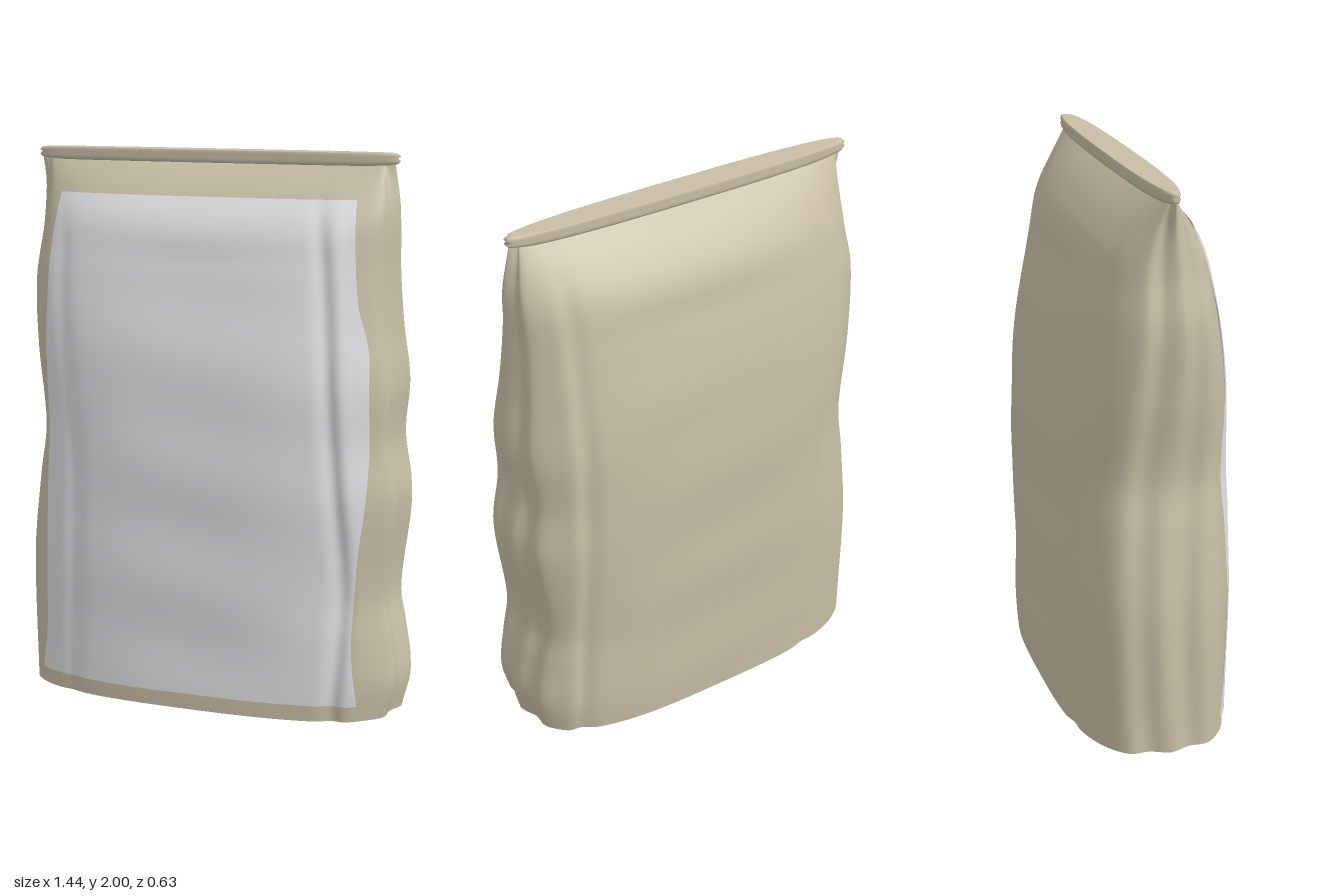
import * as THREE from 'three';
import { mergeVertices } from 'three/addons/utils/BufferGeometryUtils.js';
import { ParametricGeometry } from 'three/addons/geometries/ParametricGeometry.js';

// Smooth cubic through [y, value] pairs
function profile(pts) {
  const slope = (i) => {
    const a = pts[Math.max(i - 1, 0)], b = pts[Math.min(i + 1, pts.length - 1)];
    return (b[1] - a[1]) / (b[0] - a[0]);
  };
  return (y) => {
    let i = 0;
    while (i < pts.length - 2 && y > pts[i + 1][0]) i++;
    const [y0, v0] = pts[i], [y1, v1] = pts[i + 1], h = y1 - y0;
    const t = THREE.MathUtils.clamp((y - y0) / h, 0, 1), s = 1 - t;
    return v0 * (1 + 2 * t) * s * s + slope(i) * h * t * s * s
      + v1 * t * t * (3 - 2 * t) - slope(i + 1) * h * t * t * s;
  };
}

// Outline of the filled bag: left and right edges, depth, squareness
const xMin = profile([[0, -0.72], [0.5, -0.72], [0.8, -0.69], [1, -0.665], [1.3, -0.7], [1.55, -0.715],
  [1.72, -0.69], [1.87, -0.685], [1.97, -0.70]]);
const xMax = profile([[0, 0.69], [0.14, 0.72], [0.3, 0.7], [0.45, 0.675], [0.8, 0.71], [1, 0.68],
  [1.2, 0.69], [1.4, 0.665], [1.6, 0.655], [1.8, 0.66], [1.97, 0.635]]);
const depth = profile([[0, 0.3], [0.3, 0.305], [0.65, 0.31], [1.1, 0.305], [1.3, 0.288], [1.5, 0.255],
  [1.7, 0.215], [1.78, 0.185], [1.87, 0.125], [1.93, 0.07], [1.97, 0.025]]);
const squareness = profile([[0, 2.9], [1.4, 2.9], [1.8, 2.6], [1.97, 2.4]]);

// Edges of the front label and the paths of the creases
const labelMin = profile([[0.07, -0.64], [0.25, -0.61], [0.9, -0.6], [1.6, -0.6], [1.85, -0.58]]);
const labelMax = profile([[0.07, 0.59], [0.3, 0.57], [0.6, 0.585], [0.85, 0.612], [1.2, 0.61],
  [1.35, 0.6], [1.5, 0.56], [1.85, 0.53]]);
const creaseFrontL = profile([[0, 0.5], [0.5, 0.53], [1, 0.49], [1.4, 0.46], [1.85, 0.41]]);
const creaseFrontR = profile([[0, -0.5], [0.8, -0.47], [1.2, -0.51], [1.85, -0.56]]);
const creaseBackL = profile([[0, 0.56], [0.8, 0.52], [1.85, 0.5]]);
const creaseBackR = profile([[0, -0.42], [0.6, -0.45], [1.2, -0.52], [1.85, -0.5]]);

const dent = (d, w) => Math.exp(-((d / w) ** 2));

// Wrinkle factor on the depth of the front (side 1) or back (side -1)
function wrinkle(x, y, side) {
  const fade = THREE.MathUtils.smoothstep(1.95 - y, 0, 0.3);
  const [l, r] = side > 0 ? [creaseFrontL, creaseFrontR] : [creaseBackL, creaseBackR];
  const middle = dent(x, 0.4);
  return 1 + fade * (0.035 * dent(x - l(y) - 0.05, 0.035) - 0.055 * dent(x - l(y), 0.03)
    - 0.03 * dent(x - r(y), 0.035)
    + middle * (0.012 * Math.sin(y * 15 + x * 2 + side) - 0.018 * dent(y - 1.64, 0.05)));
}

// Point on the bag at angle a (0 is the front middle) and height y
function bagPoint(a, y, target) {
  const c = Math.sin(a), s = Math.cos(a), n = squareness(y);
  const lo = xMin(y), hi = xMax(y);
  const x = (lo + hi) / 2 + (hi - lo) / 2 * Math.sign(c) * Math.abs(c) ** (2 / n);
  const side = Math.sign(s) || 1;
  const z = side * depth(y) * Math.abs(s) ** (2 / n) * wrinkle(x, y, side);
  // Pleats in the gussets
  const pleat = Math.abs(c) ** 12 * 0.025 * Math.sin(6 * z / depth(y) + 0.6 * Math.sin(3 * y)) ** 2;
  return target.set(x - Math.sign(c) * pleat, y, z);
}

// Front surface depth at x, y
function frontZ(x, y) {
  const lo = xMin(y), hi = xMax(y), n = squareness(y);
  const u = Math.abs((x - (lo + hi) / 2) / ((hi - lo) / 2));
  return depth(y) * Math.max(0, 1 - u ** n) ** (1 / n) * wrinkle(x, y, 1);
}

function smooth(geometry) {
  geometry.deleteAttribute('uv');
  geometry.deleteAttribute('normal');
  const merged = mergeVertices(geometry, 1e-5);
  merged.computeVertexNormals();
  return merged;
}

export function createModel() {
  const group = new THREE.Group();
  const paper = new THREE.MeshStandardMaterial({ color: 0xc8bea6, side: THREE.DoubleSide });
  paper.name = 'tan paper';
  const white = new THREE.MeshStandardMaterial({ color: 0xe0e0e2, side: THREE.DoubleSide });
  white.name = 'white label';
  const add = (name, geometry, material) => {
    const mesh = new THREE.Mesh(geometry, material);
    mesh.name = name;
    group.add(mesh);
  };

  // Bag walls
  const base = 0.012, height = 1.955;
  add('bagBody', smooth(new ParametricGeometry(
    (u, v, t) => bagPoint(u * Math.PI * 2, base + v * height, t), 192, 100)), paper);

  // Flat bottom, sagging slightly to the ground
  add('bagBottom', smooth(new ParametricGeometry((u, v, t) => {
    bagPoint(u * Math.PI * 2, base, t);
    t.x *= 1 - v;
    t.z *= 1 - v;
    t.y = base * (1 - Math.min(1, v * 3));
  }, 192, 6).scale(1, 1, 1)), paper);

  // Label following the front wall
  add('frontLabel', new ParametricGeometry((u, v, t) => {
    const y = 0.072 + v * 1.772;
    const x = THREE.MathUtils.lerp(labelMin(y), labelMax(y), u);
    t.set(x, y, frontZ(x, y) + 0.007);
  }, 100, 90), white);

  // Rolled rim closing the top
  const section = [[0, 1.955], [0.93, 1.955], [0.985, 1.962], [1, 1.972], [0.985, 1.98], [1, 1.988],
    [0.985, 1.997], [0.96, 2], [0.955, 2], [0, 2]].map(([r, y]) => new THREE.Vector2(r, y));
  const rim = new THREE.LatheGeometry(section, 96);
  const p = rim.attributes.position;
  for (let i = 0; i < p.count; i++) {
    const x = p.getX(i), z = p.getZ(i), r = Math.hypot(x, z) || 1;
    const bend = (v, e) => Math.sign(v) * Math.abs(v / r) ** e * r;
    p.setX(i, -0.03 + 0.682 * bend(x, 0.75));
    p.setZ(i, -0.003 + 0.052 * bend(z, 0.75));
  }
  add('topRim', smooth(rim), paper);

  return group;
}
